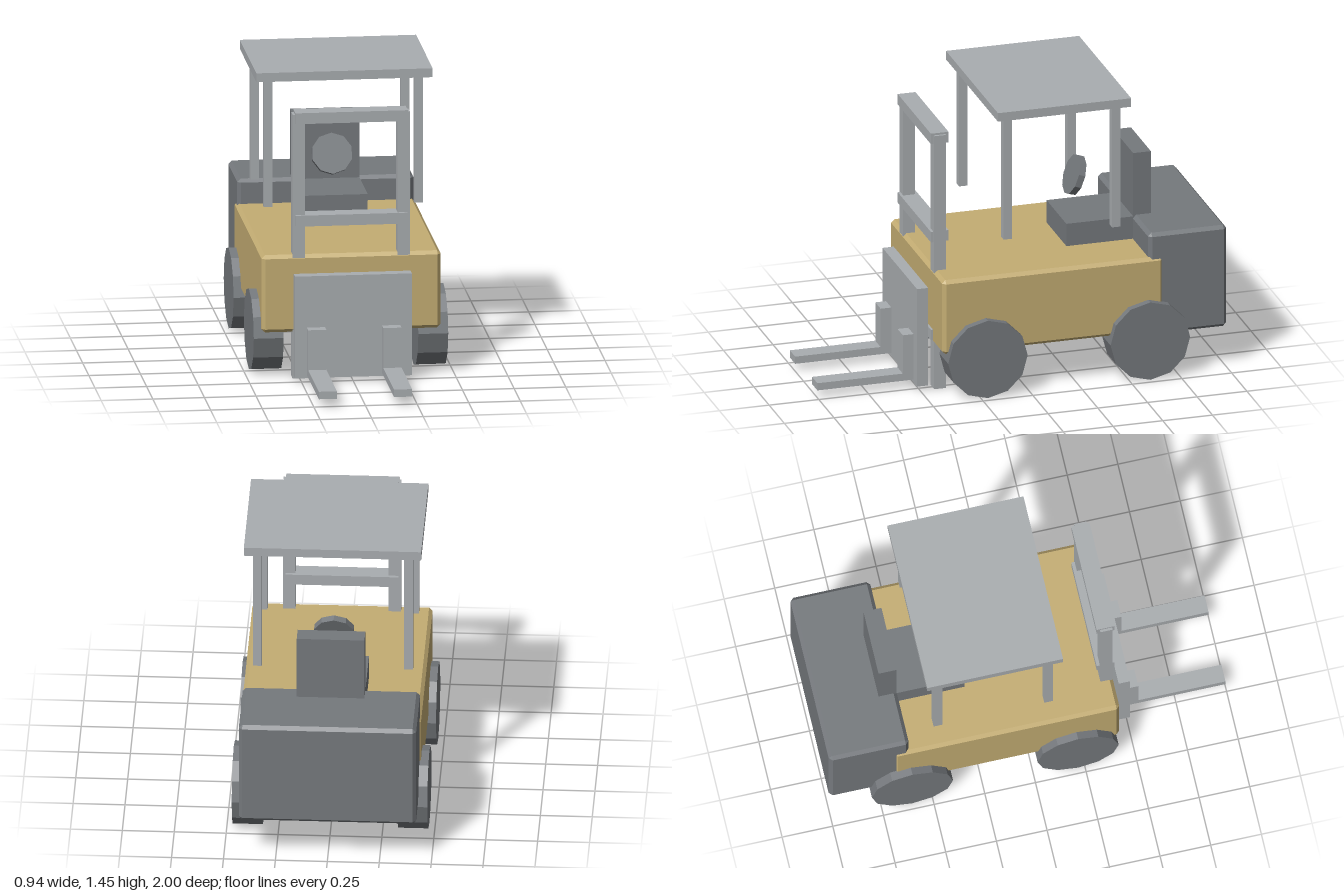
import * as THREE from 'three';
import { ConvexGeometry } from 'three/addons/geometries/ConvexGeometry.js';

const paint = (name, color) => {
  const m = new THREE.MeshStandardMaterial({ color });
  m.name = name;
  return m;
};

// Box with flat bevelled edges and corners, centred on the origin
function bevelledBox(w, h, d, b) {
  const points = [];
  for (const sx of [-1, 1]) for (const sy of [-1, 1]) for (const sz of [-1, 1]) {
    for (let axis = 0; axis < 3; axis++) {
      const inset = [b, b, b];
      inset[axis] = 0;
      points.push(new THREE.Vector3(
        sx * (w / 2 - inset[0]), sy * (h / 2 - inset[1]), sz * (d / 2 - inset[2])));
    }
  }
  return new ConvexGeometry(points);
}

export function createModel() {
  const model = new THREE.Group();
  model.name = 'forklift';
  const yellow = paint('body yellow', 0xc4ad73);
  const steel = paint('light steel', 0xa9adb0);
  const dark = paint('dark grey', 0x75797d);

  const add = (name, geometry, material, parent = model) => {
    const mesh = new THREE.Mesh(geometry, material);
    mesh.name = name;
    parent.add(mesh);
    return mesh;
  };
  // Box given by its extents along each axis, optionally bevelled
  const block = (name, material, [x0, x1], [y0, y1], [z0, z1], bevel = 0, parent = model) => {
    const size = [x1 - x0, y1 - y0, z1 - z0];
    const geometry = bevel ? bevelledBox(...size, bevel) : new THREE.BoxGeometry(...size);
    const mesh = add(name, geometry, material, parent);
    mesh.position.set((x0 + x1) / 2, (y0 + y1) / 2, (z0 + z1) / 2);
    return mesh;
  };
  const group = (name) => {
    const g = new THREE.Group();
    g.name = name;
    model.add(g);
    return g;
  };
  // Extents on the left (+1) or right (-1) side
  const mirror = (side, a, b) => (side > 0 ? [a, b] : [-b, -a]);

  // Body and rear counterweight
  block('body', yellow, [-0.434, 0.434], [0.23, 0.613], [-0.68, 0.432], 0.017);
  block('counterweight', dark, [-0.427, 0.427], [0.212, 0.735], [-1, -0.606], 0.017);

  // Seat
  const seat = group('seat');
  block('seatCushion', dark, [-0.163, 0.163], [0.605, 0.728], [-0.61, -0.272], 0, seat);
  block('seatBack', dark, [-0.163, 0.163], [0.62, 1.055], [-0.697, -0.608], 0, seat);

  // Steering wheel, tilted back
  const steering = add('steeringWheel',
    new THREE.CylinderGeometry(0.1, 0.1, 0.033, 10).toNonIndexed(), dark);
  steering.geometry.computeVertexNormals();
  steering.position.set(0, 0.911, -0.362);
  steering.rotation.x = THREE.MathUtils.degToRad(70);

  // Wheels
  const wheels = group('wheels');
  const wheelGeometry = new THREE.CylinderGeometry(0.2, 0.2, 0.145, 12).toNonIndexed();
  wheelGeometry.rotateZ(Math.PI / 2);
  wheelGeometry.computeVertexNormals();
  for (const side of [-1, 1]) {
    for (const [name, z] of [['frontWheel', 0.217], ['rearWheel', -0.6]]) {
      add(name, wheelGeometry, dark, wheels).position.set(side * 0.3985, 0.2, z);
    }
  }

  // Overhead guard on four posts
  const guard = group('overheadGuard');
  block('roof', steel, [-0.427, 0.427], [1.405, 1.449], [-0.517, 0.153], 0, guard);
  for (const side of [-1, 1]) {
    for (const z of [0.091, -0.455]) {
      block('roofPost', steel, mirror(side, 0.343, 0.386), [0.775, 1.406],
        [z - 0.0215, z + 0.0215], 0, guard);
    }
  }

  // Mast: two uprights and three crossbars
  const mast = group('mast');
  for (const side of [-1, 1]) {
    block('mastUpright', steel, mirror(side, 0.224, 0.284), [0, 1.308], [0.37, 0.43], 0, mast);
  }
  for (const y of [0.277, 0.783, 1.291]) {
    block('mastCrossbar', steel, [-0.272, 0.272], [y - 0.027, y + 0.027], [0.354, 0.443], 0, mast);
  }

  // Carriage plate and forks
  const carriage = group('carriage');
  block('carriagePlate', steel, [-0.283, 0.283], [0.023, 0.527], [0.46, 0.516], 0, carriage);
  for (const side of [-1, 1]) {
    const x = mirror(side, 0.138, 0.226);
    block('forkShank', steel, x, [0.039, 0.273], [0.514, 0.57], 0, carriage);
    block('forkTine', steel, x, [0.038, 0.075], [0.514, 1], 0, carriage);
  }
  return model;
}
